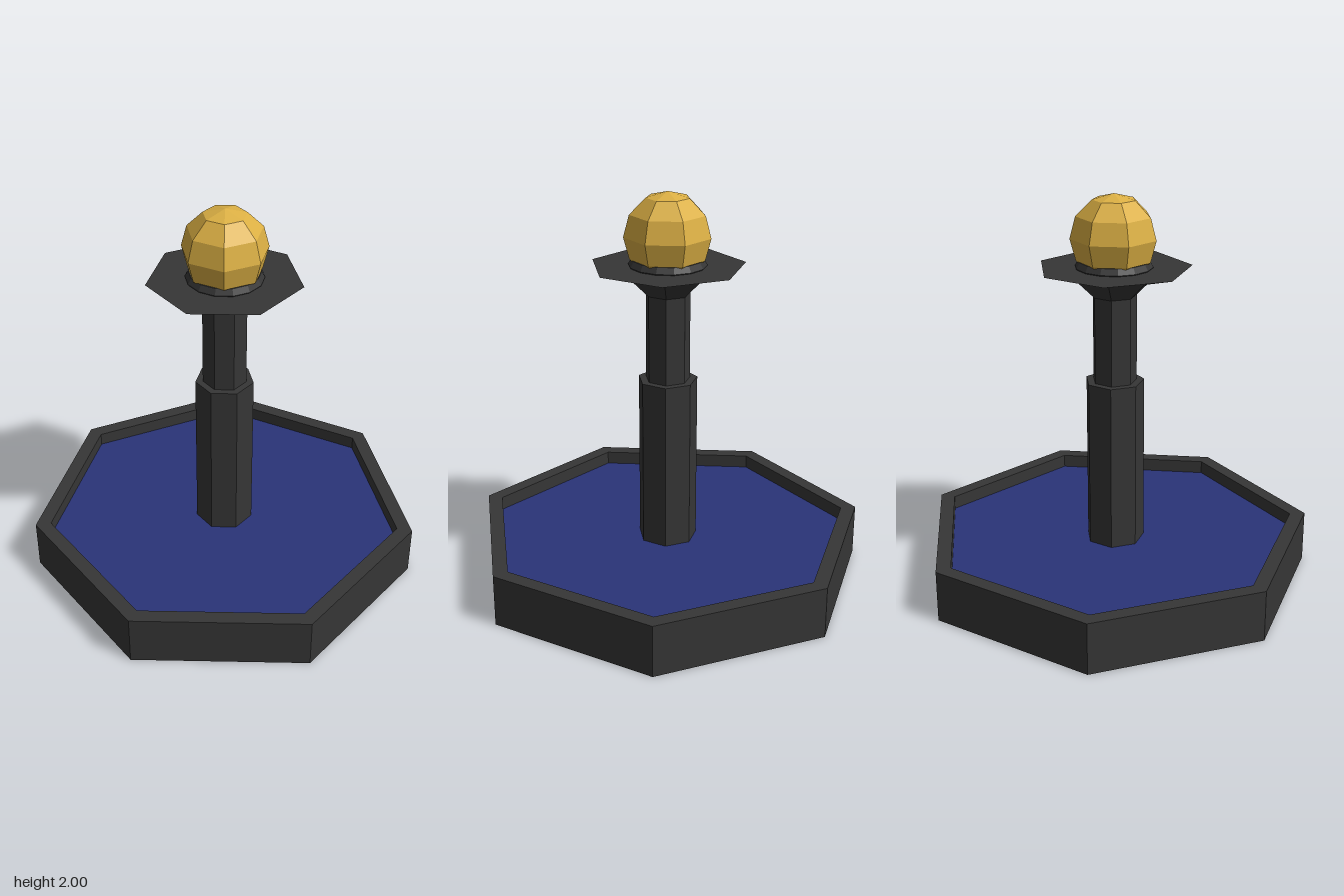
import * as THREE from 'three';

const SIDES = 7;

const mat = (color) => new THREE.MeshStandardMaterial({ color, flatShading: true });

export function createModel() {
  const stone = mat(0x363636);
  const water = mat(0x2a3478);
  const gold = mat(0xdcb044);

  const group = new THREE.Group();
  const body = new THREE.Group();
  body.name = 'fountain';
  body.position.z = -0.053; // the heptagon's axis sits slightly behind its bounding centre
  group.add(body);

  const add = (name, geometry, material, y = 0) => {
    const mesh = new THREE.Mesh(geometry, material);
    mesh.name = name;
    mesh.position.y = y;
    body.add(mesh);
    return mesh;
  };
  // seven-sided turned part from [radius, height] pairs, bottom to top
  const turned = (name, profile) =>
    add(name, new THREE.LatheGeometry(profile.map(([r, y]) => new THREE.Vector2(r, y)), SIDES), stone);

  // basin with raised rim
  turned('basin', [[0, 0], [1.015, 0], [1.015, 0.265], [0.935, 0.265], [0.935, 0.18]]);

  // water surface, one corner towards the front
  const surface = new THREE.CircleGeometry(0.935, SIDES, -Math.PI / 2);
  surface.rotateX(-Math.PI / 2);
  add('water', surface, water, 0.195);

  // stepped column
  turned('lowerColumn', [[0.15, 0.18], [0.15, 1.06], [0.1, 1.06]]);
  turned('upperColumn', [[0.112, 1.05], [0.112, 1.51]]);

  // flared dish with a flat top
  turned('dish', [[0.112, 1.5], [0.205, 1.59], [0.385, 1.64], [0, 1.64]]);

  // collar holding the ball
  const collar = new THREE.TorusGeometry(0.158, 0.034, 6, 14);
  collar.rotateX(-Math.PI / 2);
  add('collar', collar, stone, 1.645);

  // faceted ball, one corner towards the back
  const ball = add('ball', new THREE.SphereGeometry(0.215, SIDES, 6), gold, 1.785);
  ball.rotation.y = -Math.PI / 2;

  return group;
}
